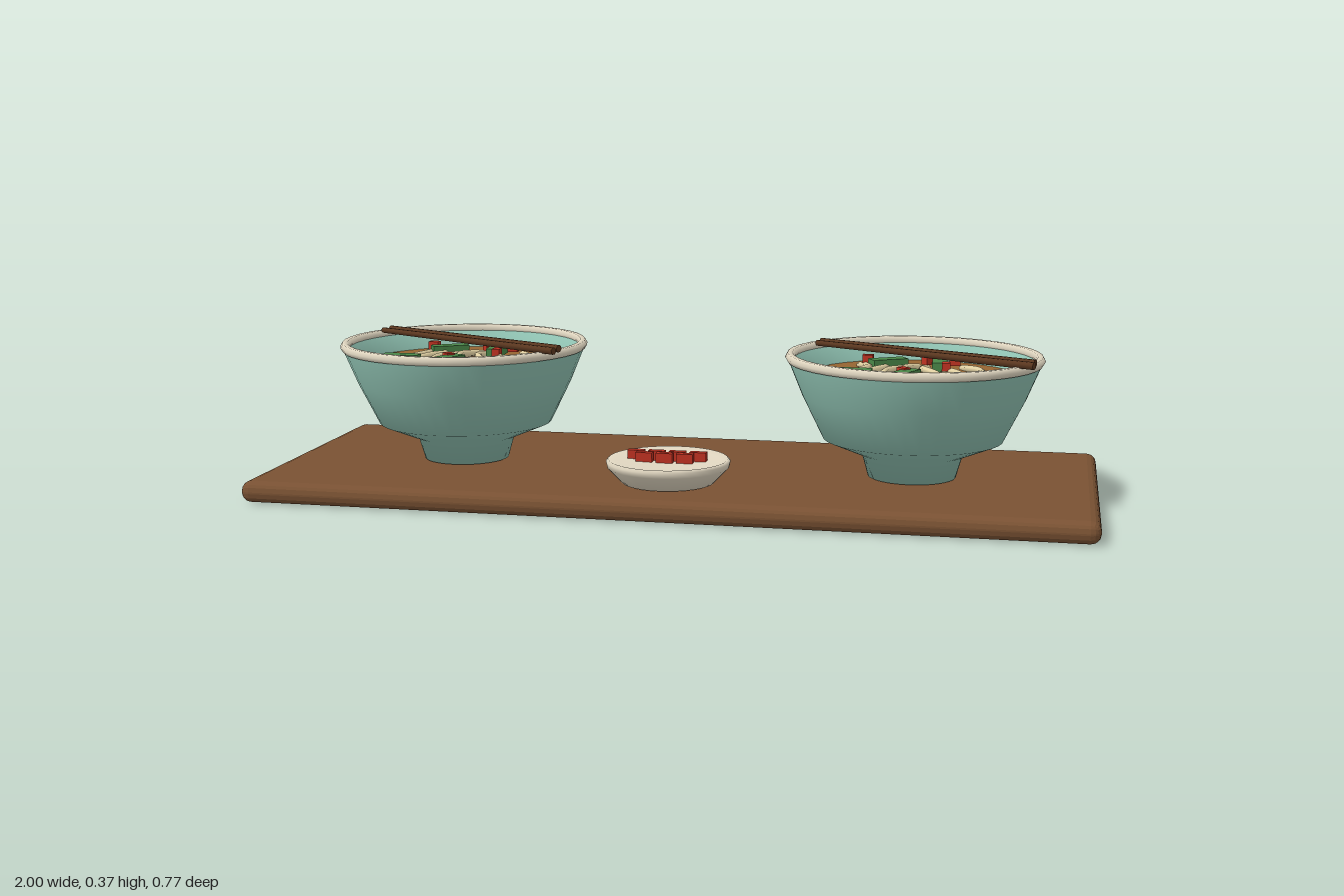
import * as THREE from 'three';
import { RoundedBoxGeometry } from 'three/addons/geometries/RoundedBoxGeometry.js';

const material = (name, color, side = THREE.FrontSide) => {
  const m = new THREE.MeshStandardMaterial({ color, side });
  m.name = name;
  return m;
};

const mats = {
  wood: material('walnut wood', 0x7a5233),
  glaze: material('celadon glaze', 0x8fc1b1, THREE.DoubleSide),
  cream: material('cream ceramic', 0xe2d8c2),
  broth: material('brown broth', 0x966532),
  noodle: material('noodle', 0xe6d5a6),
  green: material('scallion green', 0x4a8748),
  red: material('chilli red', 0xc03222),
  dark: material('dark chopstick wood', 0x5c3820),
};

function add(parent, name, geometry, mat, x = 0, y = 0, z = 0) {
  const mesh = new THREE.Mesh(geometry, mat);
  mesh.name = name;
  mesh.position.set(x, y, z);
  parent.add(mesh);
  return mesh;
}

const lathe = (points, segments = 32) =>
  new THREE.LatheGeometry(points.map(([r, y]) => new THREE.Vector2(r, y)), segments);

// Round rod between two points
function rod(parent, name, a, b, ra, rb, mat) {
  const dir = b.clone().sub(a);
  const mesh = add(parent, name, new THREE.CylinderGeometry(rb, ra, dir.length(), 8), mat);
  mesh.position.copy(a).add(b).multiplyScalar(0.5);
  mesh.quaternion.setFromUnitVectors(new THREE.Vector3(0, 1, 0), dir.normalize());
}

function makeBowl(x) {
  const bowl = new THREE.Group();
  bowl.name = 'noodleBowl';
  bowl.position.x = x;

  // Footed bowl: outside from the foot up, then down the inner wall
  add(bowl, 'bowlShell', lathe([
    [0, 0.055], [0.105, 0.055], [0.12, 0.108], [0.215, 0.148], [0.265, 0.25], [0.301, 0.338],
    [0.29, 0.343], [0.262, 0.296], [0.235, 0.24], [0.18, 0.17], [0, 0.15],
  ], 40), mats.glaze);
  const rim = add(bowl, 'bowlRim', new THREE.TorusGeometry(0.295, 0.012, 6, 40), mats.cream, 0, 0.342, 0);
  rim.rotation.x = Math.PI / 2;
  add(bowl, 'broth', new THREE.CylinderGeometry(0.263, 0.25, 0.02, 40), mats.broth, 0, 0.286, 0);

  // Wavy noodles lying front to back
  for (let i = 0; i < 7; i++) {
    const x0 = (i - 3) * 0.045;
    const points = [];
    for (let j = 0; j <= 6; j++) {
      const t = j / 6;
      points.push(new THREE.Vector3(
        x0 + 0.025 * Math.sin(t * 5 + i * 0.9) + 0.02 * (t - 0.5),
        0.297 + 0.012 * Math.sin(t * Math.PI),
        -0.14 + 0.015 * (i % 3) + t * 0.26));
    }
    add(bowl, 'noodle', new THREE.TubeGeometry(new THREE.CatmullRomCurve3(points), 18, 0.009, 6), mats.noodle);
  }

  // Scallion pieces: x, z, turn
  for (const [px, pz, turn] of [[-0.07, -0.09, 0.55], [0.055, -0.09, 1.65], [-0.138, 0.083, 0], [-0.015, 0.095, 1.15]]) {
    const piece = add(bowl, 'scallion', new THREE.BoxGeometry(0.092, 0.022, 0.036), mats.green, px, 0.313, pz);
    piece.rotation.y = turn;
  }

  // Chilli pieces
  [[-0.122, -0.118], [0.025, -0.12], [0.074, -0.028], [-0.02, 0.065], [0.09, -0.115]].forEach(([px, pz], i) => {
    const piece = add(bowl, 'chilli', new THREE.BoxGeometry(0.026, 0.02, 0.02), mats.red, px, 0.318, pz);
    piece.rotation.y = i * 0.8;
  });

  // Pair of chopsticks across the rim
  for (const s of [0, 1]) {
    rod(bowl, 'chopstick',
      new THREE.Vector3(-0.237 - s * 0.006, 0.36, -0.11 + s * 0.038),
      new THREE.Vector3(0.284 - s * 0.002, 0.358, 0.14 + s * 0.04), 0.007, 0.009, mats.dark);
  }
  return bowl;
}

function makeDish() {
  const dish = new THREE.Group();
  dish.name = 'chilliDish';
  dish.position.z = 0.18;
  add(dish, 'dishBody', lathe([
    [0, 0.055], [0.11, 0.055], [0.145, 0.092], [0.148, 0.105], [0.142, 0.111], [0.125, 0.106], [0, 0.102],
  ]), mats.cream);
  // Two staggered rows of chopped chilli
  for (let i = 0; i < 7; i++) {
    const back = i < 4;
    add(dish, 'choppedChilli', new THREE.BoxGeometry(0.04, 0.024, 0.018), mats.red,
      back ? -0.08 + i * 0.05 : -0.055 + (i - 4) * 0.049, 0.114, back ? -0.012 : 0.013);
  }
  return dish;
}

export function createModel() {
  const model = new THREE.Group();
  model.name = 'noodleTray';

  // Serving board with faceted rounded edges
  const board = new RoundedBoxGeometry(2, 0.052, 0.775, 2, 0.024);
  board.computeVertexNormals();
  add(model, 'servingBoard', board, mats.wood, 0, 0.026, 0);

  for (const x of [-0.56, 0.56]) model.add(makeBowl(x));
  model.add(makeDish());
  return model;
}
